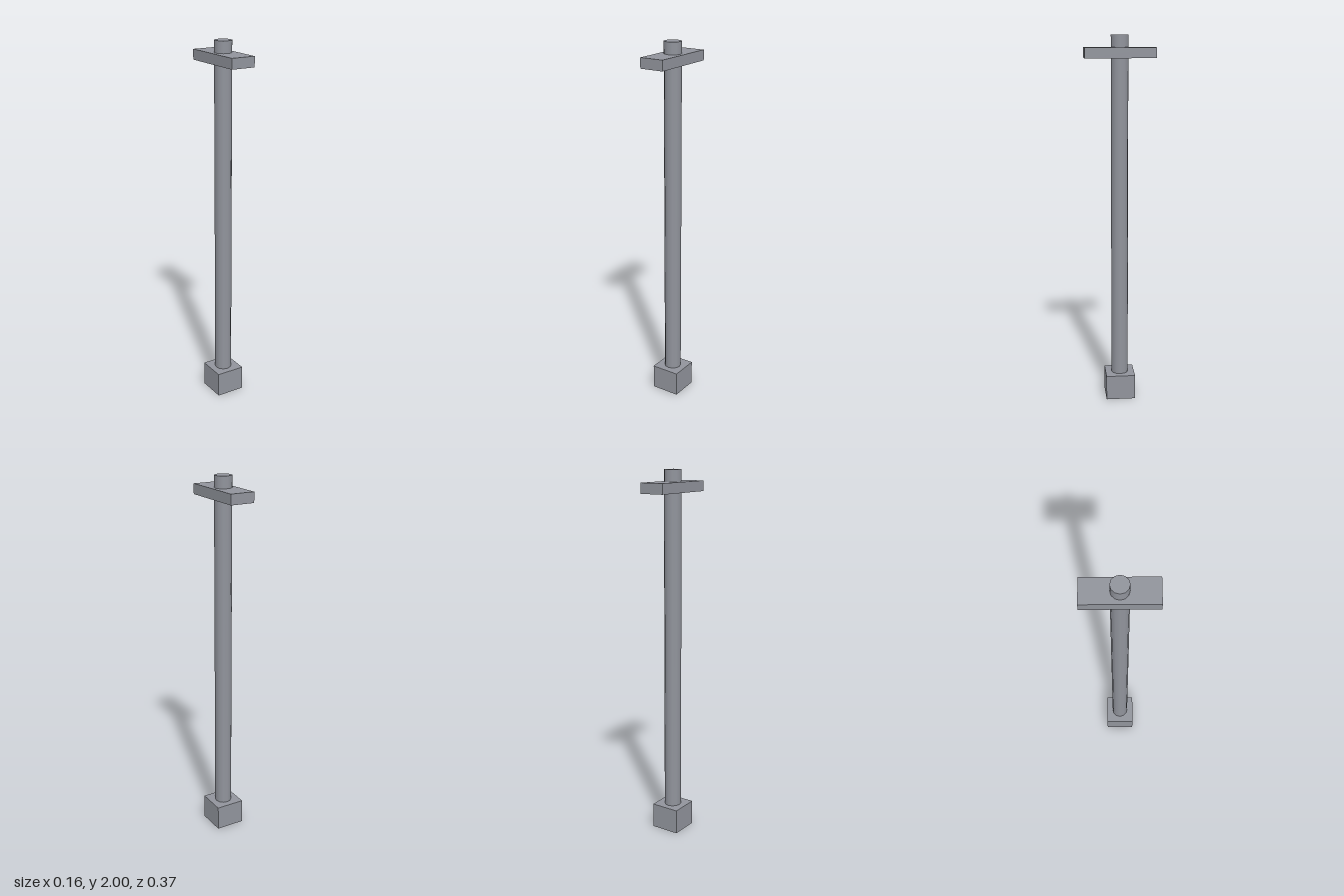
import * as THREE from 'three';

export function createModel() {
  const model = new THREE.Group();
  const material = new THREE.MeshStandardMaterial({ color: 0x91949c });

  // Adds a named part whose underside sits at height bottom
  function addPart(name, geometry, bottom) {
    geometry.computeBoundingBox();
    geometry.translate(0, bottom - geometry.boundingBox.min.y, 0);
    const mesh = new THREE.Mesh(geometry, material);
    mesh.name = name;
    model.add(mesh);
  }

  // Square foot block
  addPart('base', new THREE.BoxGeometry(0.16, 0.137, 0.16), 0);

  // Tall round post, standing on the base and poking through the crossbar
  addPart('post', new THREE.CylinderGeometry(0.046, 0.046, 1.863, 12), 0.137);

  // Flat crossbar running front to back near the top
  addPart('crossbar', new THREE.BoxGeometry(0.134, 0.055, 0.374), 1.882);

  return model;
}
